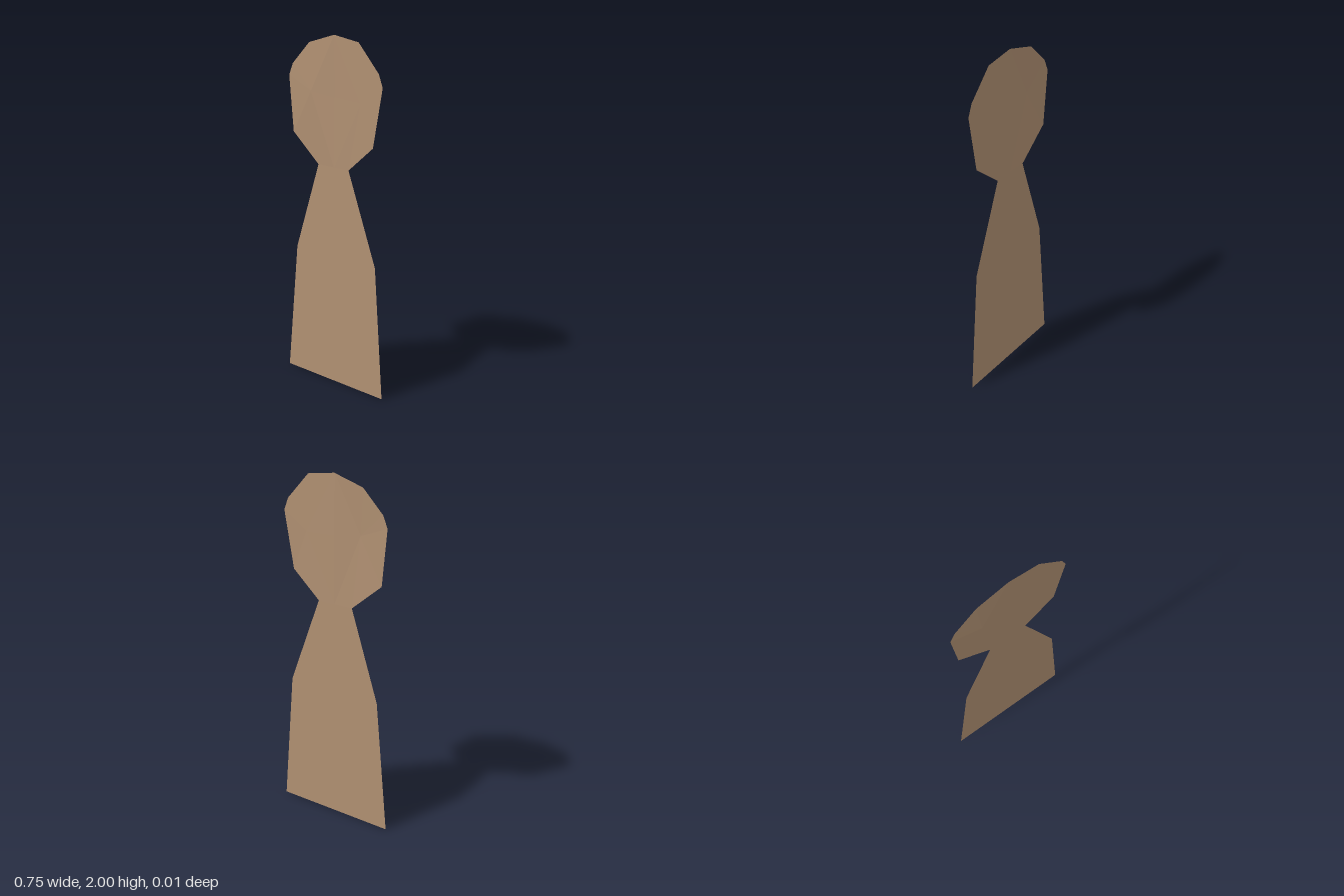
import * as THREE from 'three';

const EDGE = -0.004; // depth of the flat sheet

// Faceted panel: a fan of triangles from a centre to a counter-clockwise ring
function fan(centre, ring) {
  const positions = [];
  ring.forEach((a, i) => {
    const b = ring[(i + 1) % ring.length];
    for (const [x, y, z = EDGE] of [centre, a, b]) positions.push(x, y, z);
  });
  const geometry = new THREE.BufferGeometry();
  geometry.setAttribute('position', new THREE.Float32BufferAttribute(positions, 3));
  geometry.computeVertexNormals();
  return geometry;
}

export function createModel() {
  const model = new THREE.Group();
  model.name = 'flatFigure';
  const tan = new THREE.MeshStandardMaterial({
    name: 'tan', color: 0xb09072, flatShading: true, side: THREE.DoubleSide,
  });
  const add = (name, geometry) => {
    const mesh = new THREE.Mesh(geometry, tan);
    mesh.name = name;
    model.add(mesh);
    return mesh;
  };

  // Flat body, narrowing to the neck
  const outline = [[-0.375, 0], [0.375, 0], [0.315, 0.755], [0.112, 1.27], [-0.122, 1.27], [-0.3, 0.755]];
  const shape = new THREE.Shape(outline.map(([x, y]) => new THREE.Vector2(x, y)));
  add('body', new THREE.ShapeGeometry(shape)).position.z = EDGE;

  // Head in two shallow halves that meet on a centre seam
  const chin = [0, 1.27], crown = [0, 2, -0.005], seam = [0, 1.66, -0.007];
  add('headLeft', fan([0.2, 1.65, -0.002], [
    chin, [0.112, 1.27], [0.295, 1.42, -0.001], [0.358, 1.75], [0.33, 1.82], [0.183, 1.974], crown, seam,
  ]));
  add('headRight', fan([-0.17, 1.68, 0.006], [
    crown, [-0.192, 1.946], [-0.325, 1.818], [-0.355, 1.75], [-0.322, 1.43], [-0.122, 1.27], chin, seam,
  ]));

  return model;
}
